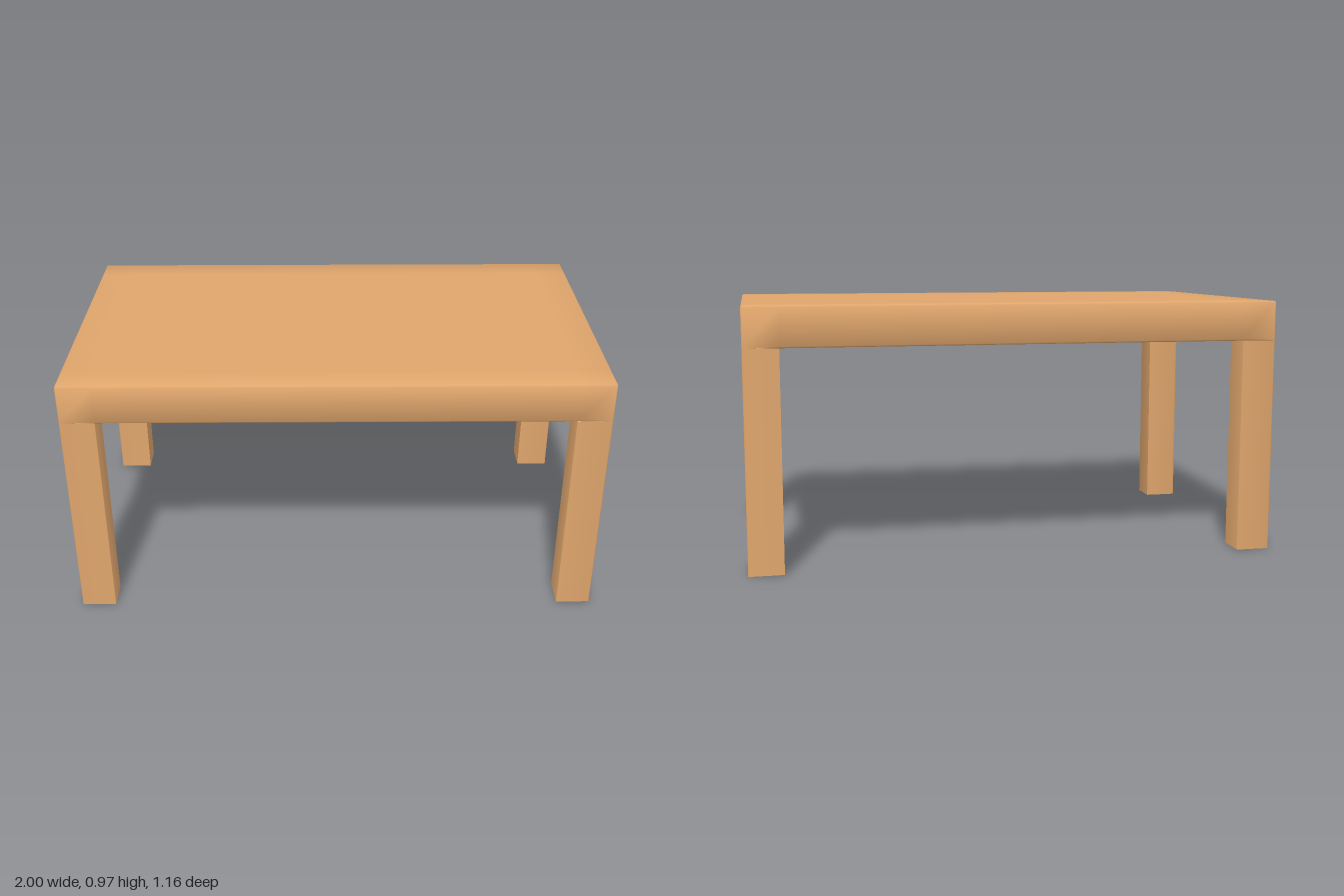
import * as THREE from 'three';

const W = 1, D = 0.578, TOP = 0.967, UNDER = 0.817; // half width, half depth, heights
const LEG_X = 0.87, LEG_Z = 0.463;                  // inner faces of the legs
const B = 0.006;                                    // bevel width
const AXES = ['x', 'y', 'z'];

// Box whose grid lines sit at the given coordinates. Sides for which
// isSoft(axis, sign, point) holds get a tiny bevel and rounded shading.
function softBox(lines, isSoft) {
  const n = lines.map((l) => l.length - 1);
  const geo = new THREE.BoxGeometry(n[0], n[1], n[2], n[0], n[1], n[2]);
  const pos = geo.attributes.position, nor = geo.attributes.normal;
  const p = new THREE.Vector3(), face = new THREE.Vector3();
  for (let v = 0; v < pos.count; v++) {
    p.fromBufferAttribute(pos, v);
    face.fromBufferAttribute(nor, v);
    AXES.forEach((a, i) => { p[a] = lines[i][Math.round(p[a] + n[i] / 2)]; });
    const normal = face.clone(), inner = p.clone(), push = new THREE.Vector3();
    AXES.forEach((a, i) => {
      const lo = lines[i][0], hi = lines[i][n[i]];
      for (const [sign, dist] of [[-1, p[a] - lo], [1, hi - p[a]]]) {
        if (dist > B * 1.01 || !isSoft(a, sign, p)) continue;
        const onEdge = dist < 1e-6;
        if (face[a] === 0) normal[a] += sign * (onEdge ? 1 : 0.4);
        if (onEdge) { inner[a] -= sign * B; push[a] = sign; }
      }
    });
    if (push.lengthSq() > 0) p.copy(inner).addScaledVector(push.normalize(), B);
    normal.normalize();
    pos.setXYZ(v, p.x, p.y, p.z);
    nor.setXYZ(v, normal.x, normal.y, normal.z);
  }
  return geo;
}

const mirrored = (inner, outer) => [-outer, B - outer, -inner, inner, outer - B, outer];

export function createModel() {
  const group = new THREE.Group();
  group.name = 'table';
  const wood = new THREE.MeshStandardMaterial({ color: 0xdfa56c });

  // Table top: soft on all edges, except below where it runs on into the legs
  const overLeg = (p) => Math.abs(p.x) > LEG_X + 1e-4 && Math.abs(p.z) > LEG_Z + 1e-4;
  const top = new THREE.Mesh(softBox(
    [mirrored(LEG_X, W), [UNDER, UNDER + B, TOP - B, TOP], mirrored(LEG_Z, D)],
    (axis, sign, p) => !(axis === 'y' && sign < 0 && overLeg(p))
  ), wood);
  top.name = 'tableTop';
  group.add(top);

  // Four square legs flush with the corners, soft on the outer corner only
  const span = (s, inner, outer) => [inner, outer - B, outer].map((c) => s * c).sort((a, b) => a - b);
  for (const sx of [-1, 1]) {
    for (const sz of [-1, 1]) {
      const leg = new THREE.Mesh(softBox(
        [span(sx, LEG_X, W), [0, UNDER], span(sz, LEG_Z, D)],
        (axis, sign) => (axis === 'x' && sign === sx) || (axis === 'z' && sign === sz)
      ), wood);
      leg.name = (sz > 0 ? 'front' : 'back') + (sx > 0 ? 'Left' : 'Right') + 'Leg';
      group.add(leg);
    }
  }
  return group;
}
